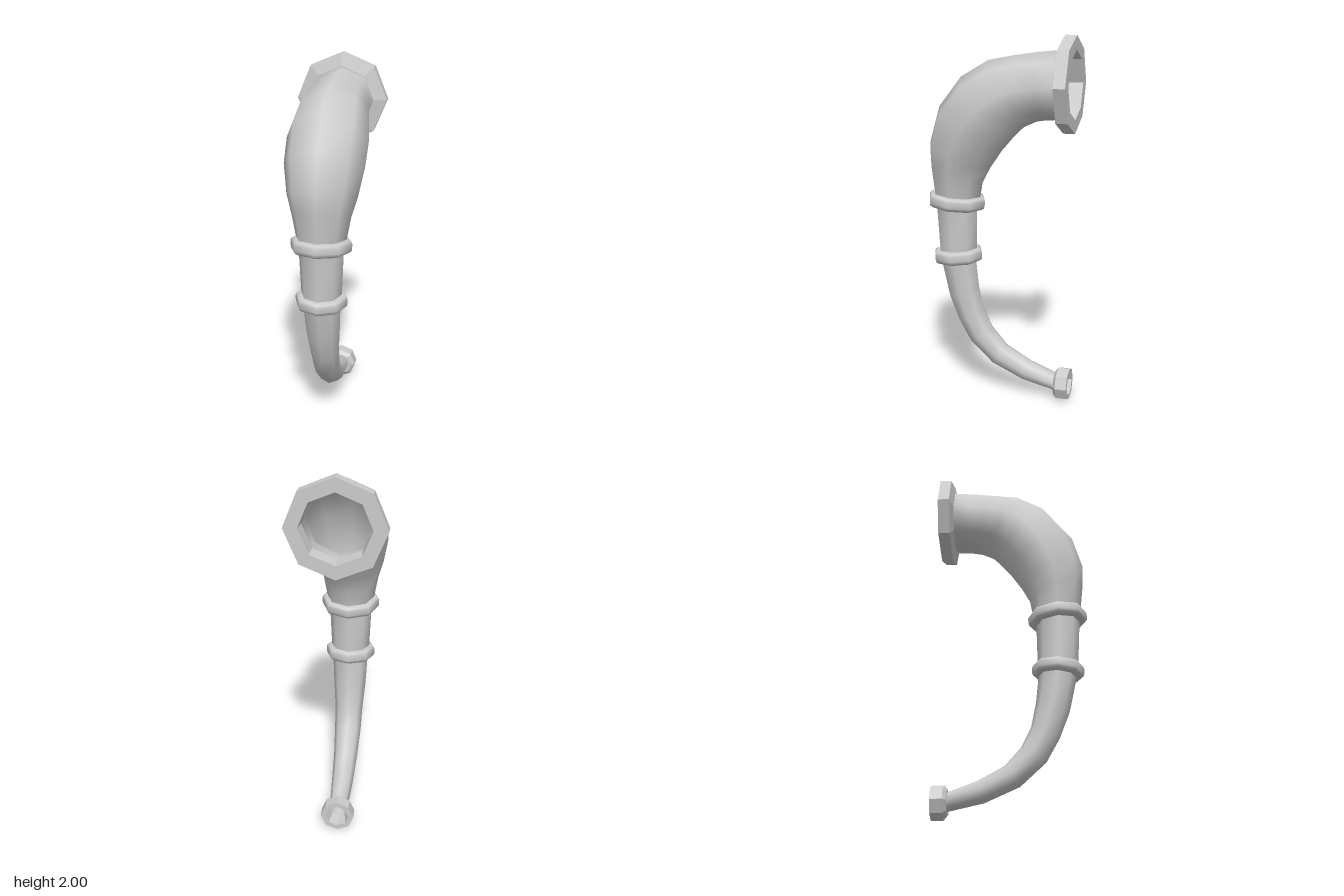
import * as THREE from 'three';

const SIDES = 8;
const smooth = new THREE.MeshStandardMaterial({ color: 0xcccccc, side: THREE.DoubleSide });
const faceted = new THREE.MeshStandardMaterial({ color: 0xcccccc, side: THREE.DoubleSide, flatShading: true });

// Octagonal tube; each section is [outer z, outer y, inner z, inner y] on the bend plane.
function bentTube(name, sections) {
  const pos = [], index = [];
  sections.forEach(([zo, yo, zi, yi], i) => {
    const cz = (zo + zi) / 2, cy = (yo + yi) / 2;
    const hz = (zo - zi) / 2, hy = (yo - yi) / 2, r = Math.hypot(hz, hy);
    for (let j = 0; j < SIDES; j++) {
      const a = (j / SIDES) * Math.PI * 2, c = Math.cos(a);
      pos.push(r * Math.sin(a), cy + hy * c, cz + hz * c);
      if (i < sections.length - 1) {
        const p = i * SIDES + j, q = i * SIDES + (j + 1) % SIDES;
        index.push(p, p + SIDES, q, q, p + SIDES, q + SIDES);
      }
    }
  });
  const geo = new THREE.BufferGeometry();
  geo.setAttribute('position', new THREE.Float32BufferAttribute(pos, 3));
  geo.setIndex(index);
  geo.computeVertexNormals();
  const mesh = new THREE.Mesh(geo, smooth);
  mesh.name = name;
  return mesh;
}

// Octagonal ring turned from a [radius, height] profile.
function turned(name, profile, material) {
  const geo = new THREE.LatheGeometry(profile.map(([r, h]) => new THREE.Vector2(r, h)), SIDES);
  const mesh = new THREE.Mesh(geo, material);
  mesh.name = name;
  return mesh;
}

// Rounded band around the pipe.
function collar(name, r, inner, y, z, tilt) {
  const mesh = turned(name, [
    [inner, -0.036], [r - 0.018, -0.036], [r - 0.004, -0.027], [r, -0.012],
    [r, 0.015], [r - 0.006, 0.028], [r - 0.024, 0.036], [inner, 0.036],
  ], smooth);
  mesh.position.set(0, y, z);
  mesh.rotation.x = tilt;
  return mesh;
}

// Open wall flange with a chamfered front; the bore narrows to the pipe.
function flange(name, r, bore, pipe, chamfer, y) {
  const mesh = turned(name, [
    [pipe, -0.325], [bore, -0.405], [r, -0.405], [r, -0.342], [chamfer, -0.325], [pipe, -0.325],
  ], faceted);
  mesh.rotation.x = Math.PI / 2;
  mesh.position.y = y;
  return mesh;
}

export function createModel() {
  const model = new THREE.Group();
  model.name = 'bentPipe';

  // Wide upper bend
  model.add(bentTube('upperBend', [
    [-0.33, 1.925, -0.33, 1.57],
    [-0.21, 1.915, -0.25, 1.565],
    [-0.07, 1.895, -0.2, 1.557],
    [0.065, 1.87, -0.13, 1.525],
    [0.22, 1.78, -0.07, 1.465],
    [0.345, 1.62, -0.01, 1.395],
    [0.4, 1.43, 0.055, 1.3],
    [0.395, 1.31, 0.1, 1.215],
    [0.375, 1.13, 0.12, 1.1],
  ]));

  // Straight neck between the collars
  model.add(bentTube('neck', [
    [0.372, 1.12, 0.132, 1.1],
    [0.352, 0.79, 0.138, 0.8],
  ]));

  // Slim lower bend
  model.add(bentTube('lowerBend', [
    [0.345, 0.79, 0.14, 0.8],
    [0.34, 0.74, 0.14, 0.76],
    [0.3, 0.56, 0.125, 0.617],
    [0.245, 0.42, 0.098, 0.485],
    [0.175, 0.295, 0.045, 0.375],
    [0.04, 0.17, -0.04, 0.28],
    [-0.14, 0.09, -0.177, 0.205],
    [-0.33, 0.048, -0.33, 0.148],
  ]));

  model.add(collar('upperCollar', 0.162, 0.11, 1.108, 0.25, -0.09));
  model.add(collar('lowerCollar', 0.14, 0.09, 0.797, 0.246, 0.06));

  model.add(flange('upperFlange', 0.25, 0.178, 0.172, 0.18, 1.75));
  model.add(flange('lowerFlange', 0.09, 0.062, 0.048, 0.068, 0.095));
  return model;
}
